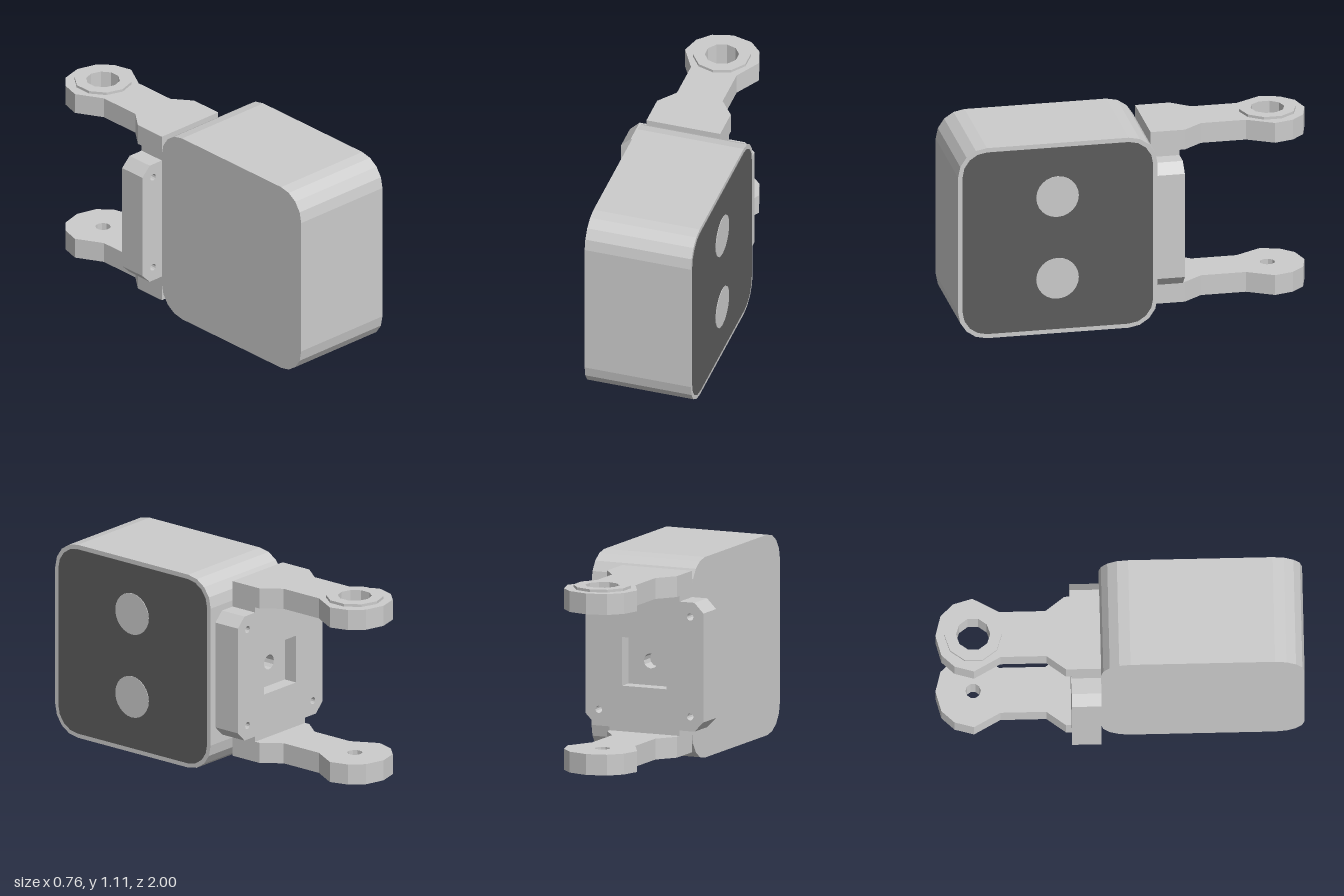
import * as THREE from 'three';

const grey = new THREE.MeshStandardMaterial({ color: 0xcccccc, flatShading: true });
const dark = new THREE.MeshStandardMaterial({ color: 0x5c5c5c, flatShading: true });

const AXIS_X = -0.025; // centre line of the bracket
const MID_Y = 0.555;   // mid height of the bracket
const PIVOT = 0.795;   // distance of the pivot behind the origin

// Regular polygon as a list of points, first corner pointing along +v
function ngon(u, v, r, n) {
  return Array.from({ length: n }, (_, i) => {
    const a = Math.PI / 2 + (i / n) * Math.PI * 2;
    return new THREE.Vector2(u + r * Math.cos(a), v + r * Math.sin(a));
  });
}

// Outline that is symmetric about v, given by its right half
function mirrored(half) {
  const right = half.map(([u, v]) => new THREE.Vector2(u, v));
  const left = half.filter(([u]) => u > 0).map(([u, v]) => new THREE.Vector2(-u, v)).reverse();
  return right.concat(left);
}

// Flat slab from an outline with holes
function slab(points, depth, holes = []) {
  const shape = new THREE.Shape(points);
  shape.holes = holes.map((h) => new THREE.Path(h));
  return new THREE.ExtrudeGeometry(shape, { depth, bevelEnabled: false });
}

// Points of a rounded rectangle centred on (cx, cy), four facets per corner
function roundedRect(cx, cy, w, h, r) {
  const points = [];
  const corners = [[1, 1], [-1, 1], [-1, -1], [1, -1]];
  corners.forEach(([sx, sy], k) => {
    for (let i = 0; i <= 4; i++) {
      const a = (k + i / 4) * Math.PI / 2;
      points.push(new THREE.Vector2(
        cx + sx * (w / 2 - r) + r * Math.cos(a),
        cy + sy * (h / 2 - r) + r * Math.sin(a),
      ));
    }
  });
  return points;
}

export function createModel() {
  const model = new THREE.Group();
  const add = (parent, name, geometry, material = grey) => {
    const mesh = new THREE.Mesh(geometry, material);
    mesh.name = name;
    parent.add(mesh);
    return mesh;
  };

  // Housing: rounded profile seen from the side, extruded across x
  const side = (points, x, depth) => slab(points, depth).rotateY(Math.PI / 2).translate(x, 0, 0);
  const cz = -0.4475;
  add(model, 'housing', side(roundedRect(cz, 0.5525, 1.105, 1.105, 0.16), -0.235, 0.605));
  add(model, 'facePanel', side(roundedRect(cz, 0.5525, 1.055, 1.055, 0.135), 0.368, 0.005), dark);
  for (const y of [0.795, 0.32]) {
    add(model, 'sensorDisc', side(ngon(-0.45, y, 0.118, 24), 0.37, 0.006));
  }

  const bracket = new THREE.Group();
  bracket.name = 'bracket';
  bracket.position.x = AXIS_X;
  model.add(bracket);

  // Mounting plate: chamfered square with tabs that reach the arms
  const outline = mirrored([
    [0.21, -0.385], [0.21, -0.355], [0.3, -0.355], [0.355, -0.3],
    [0.355, 0.3], [0.3, 0.355], [0.21, 0.355], [0.21, 0.385],
  ]);
  const screwHoles = [];
  for (const sx of [-1, 1]) for (const sy of [-1, 1]) {
    screwHoles.push(ngon(sx * 0.275, sy * 0.275, 0.02, 12));
  }
  const pocket = [[-1, -1], [1, -1], [1, 1], [-1, 1]]
    .map(([u, v]) => new THREE.Vector2(u * 0.134, v * 0.134));
  add(bracket, 'plateFront', slab(outline, 0.08, [...screwHoles, ngon(0, 0, 0.042, 12)]))
    .position.set(0, MID_Y, -0.185);
  add(bracket, 'plateBack', slab(outline, 0.08, [...screwHoles, pocket]))
    .position.set(0, MID_Y, -0.265);

  // Arms: outline seen from above, v runs toward the back
  const armOutline = mirrored([
    [0.21, 0.105], [0.21, 0.295], [0.13, 0.4], [0.13, 0.65],
    [0.21, 0.795], [0.18, 0.9], [0.113, 0.97], [0, 1.0],
  ]);
  const flat = (points, y, depth, hole) =>
    slab(points, depth, [hole]).rotateX(-Math.PI / 2).translate(0, y, 0);
  const arms = [
    { name: 'upper', y: 0.94, hole: 0.093, boss: 0.157, bossY: 1.055 },
    { name: 'lower', y: 0.055, hole: 0.042, boss: 0.102, bossY: 0.04 },
  ];
  for (const { name, y, hole, boss, bossY } of arms) {
    const bore = ngon(0, PIVOT, hole, 10);
    add(bracket, name + 'Arm', flat(armOutline, y, 0.115, bore));
    add(bracket, name + 'Boss', flat(ngon(0, PIVOT, boss, 10), bossY, 0.015, bore));
  }

  return model;
}
